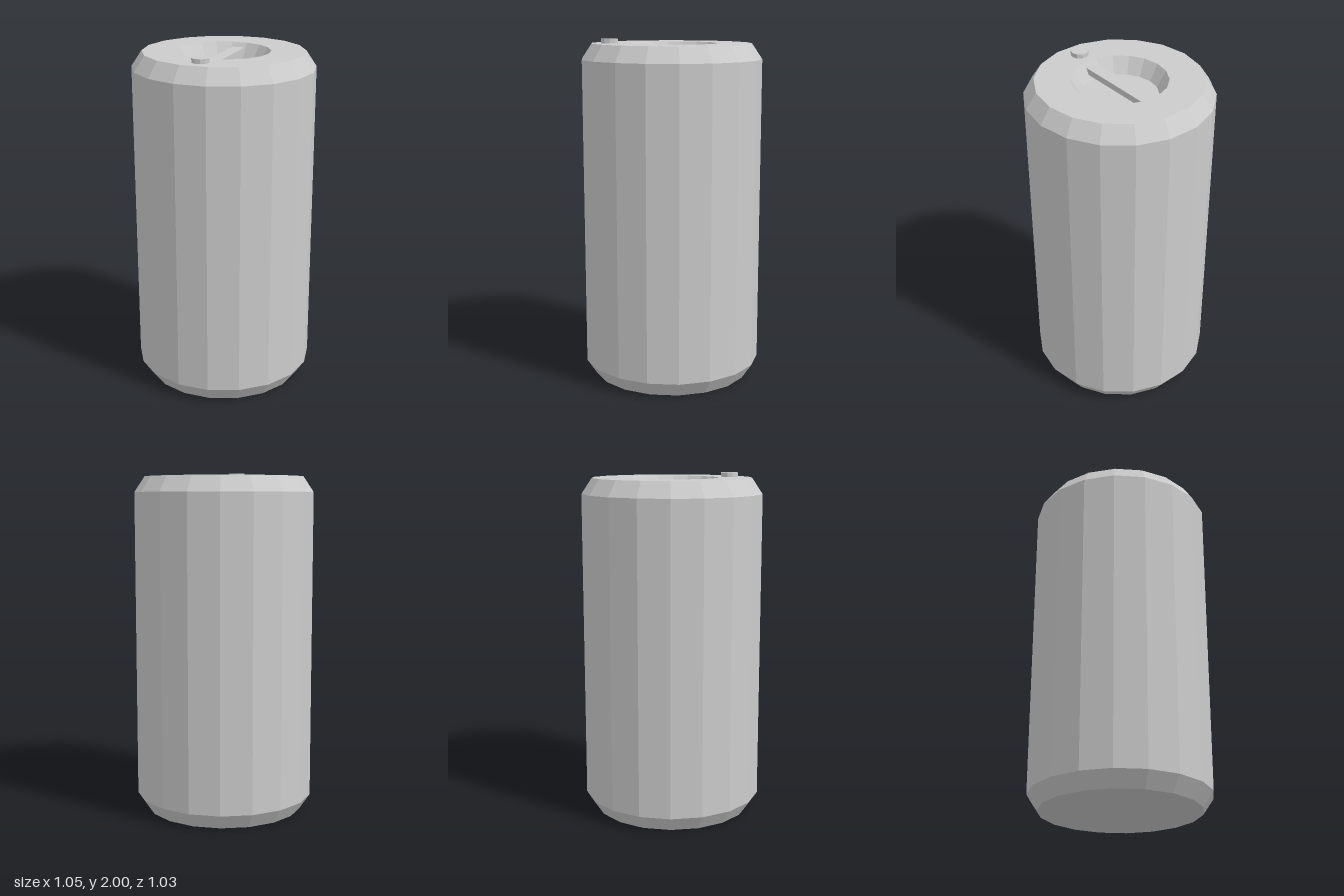
import * as THREE from 'three';

export function createModel() {
  const group = new THREE.Group();
  const material = new THREE.MeshStandardMaterial({ color: 0xcccccc, flatShading: true });

  const add = (name, geometry, x, y, z) => {
    const mesh = new THREE.Mesh(geometry, material);
    mesh.name = name;
    mesh.position.set(x, y, z);
    group.add(mesh);
  };

  // Chamfered 18-sided can with a sloped recess in the lid
  const profile = [
    [0, 0], [0.465, 0], [0.525, 0.09], [0.525, 1.885], [0.465, 1.975],
    [0.267, 1.975], [0.215, 1.885], [0, 1.885],
  ].map(([r, y]) => new THREE.Vector2(r, y));
  add('canBody', new THREE.LatheGeometry(profile, 18, Math.PI / 2), 0, 0, 0);

  // Flat handle bar bridging the recess
  add('handleBar', new THREE.BoxGeometry(0.077, 0.035, 0.502), -0.001, 1.932, -0.001);

  // Small ten-sided stud near the front rim
  add('stud', new THREE.CylinderGeometry(0.05, 0.05, 0.035, 10, 1, false, Math.PI / 2), 0, 1.9825, 0.357);

  return group;
}
